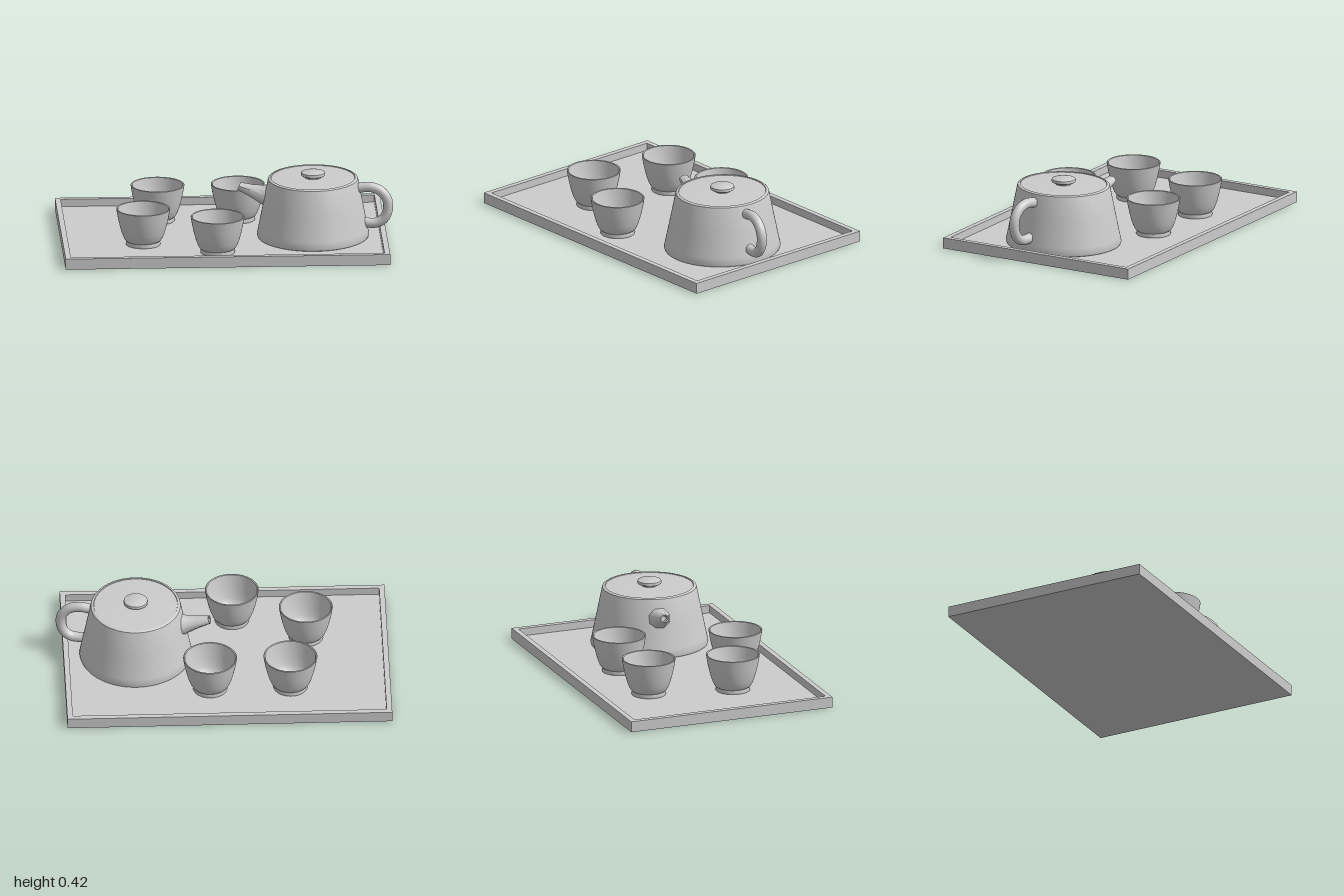
import * as THREE from 'three';
import { toCreasedNormals } from 'three/addons/utils/BufferGeometryUtils.js';

const material = new THREE.MeshStandardMaterial({ color: 0xcccccc, side: THREE.DoubleSide });
const FLOOR = 0.02; // upper face of the tray's base

function add(parent, name, geometry) {
  const mesh = new THREE.Mesh(geometry, material);
  mesh.name = name;
  parent.add(mesh);
  return mesh;
}

// Turned part from [radius, height] pairs, listed from the bottom up
function turned(profile, segments = 64) {
  const points = profile.map(([r, y]) => new THREE.Vector2(r, y));
  return toCreasedNormals(new THREE.LatheGeometry(points, segments), 0.6);
}

// Rings of [x, y, half height, half width, lean] joined in order
function spoutGeometry(rings, sides = 8) {
  const position = [], index = [];
  rings.forEach(([x, y, h, w, lean], r) => {
    for (let i = 0; i < sides; i++) {
      const a = ((i + 0.5) / sides) * Math.PI * 2;
      position.push(x + lean * Math.sin(a), y + h * Math.sin(a), w * Math.cos(a));
      if (r === 0) continue;
      const j = (i + 1) % sides, a0 = (r - 1) * sides, b0 = r * sides;
      index.push(a0 + i, b0 + i, b0 + j, a0 + i, b0 + j, a0 + j);
    }
  });
  const geometry = new THREE.BufferGeometry();
  geometry.setAttribute('position', new THREE.Float32BufferAttribute(position, 3));
  geometry.setIndex(index);
  return toCreasedNormals(geometry, 0.9);
}

function createTray() {
  const tray = new THREE.Group();
  tray.name = 'tray';
  const width = 1.953, depth = 1.3, height = 0.066, rim = 0.033;
  const rect = (Type, w, d) => new Type([[-w, -d], [w, -d], [w, d], [-w, d]]
    .map(([x, y]) => new THREE.Vector2(x / 2, y / 2)));
  const frame = rect(THREE.Shape, width, depth);
  frame.holes.push(rect(THREE.Path, width - 2 * rim, depth - 2 * rim));
  const rimGeometry = new THREE.ExtrudeGeometry(frame, { depth: height, bevelEnabled: false });
  add(tray, 'trayRim', rimGeometry.rotateX(-Math.PI / 2));
  const base = new THREE.BoxGeometry(width - 2 * rim, FLOOR, depth - 2 * rim);
  add(tray, 'trayBase', base.translate(0, FLOOR / 2, 0));
  tray.position.x = -0.0235;
  return tray;
}

function createTeapot() {
  const teapot = new THREE.Group();
  teapot.name = 'teapot';

  // Body is slightly narrower along the spout-to-handle axis
  const body = turned([
    [0, FLOOR], [0.342, FLOOR], [0.351, 0.024], [0.355, 0.034], [0.346, 0.075],
    [0.315, 0.225], [0.286, 0.37], [0.283, 0.379], [0.276, 0.384], [0.266, 0.385],
    [0.264, 0.381], [0, 0.384],
  ], 96);
  add(teapot, 'body', body).scale.x = 0.95;

  add(teapot, 'lidKnob', turned([
    [0.047, 0.378], [0.047, 0.395], [0.066, 0.395], [0.072, 0.399], [0.073, 0.407],
    [0.071, 0.416], [0.064, 0.42], [0, 0.421],
  ], 48));

  // Faceted tapering spout with an opening at the tip
  add(teapot, 'spout', spoutGeometry([
    [-0.24, 0.25, 0.09, 0.085, 0],
    [-0.3, 0.263, 0.06, 0.062, 0],
    [-0.37, 0.288, 0.038, 0.044, 0.006],
    [-0.448, 0.315, 0.022, 0.031, 0.009],
    [-0.446, 0.315, 0.014, 0.022, 0.006],
    [-0.38, 0.295, 0.014, 0.022, 0.004],
    [-0.375, 0.294, 0, 0, 0],
  ]));

  // Ear-shaped handle
  const path = new THREE.CatmullRomCurve3([
    [0.23, 0.318], [0.285, 0.329], [0.345, 0.335], [0.405, 0.316], [0.447, 0.265],
    [0.454, 0.205], [0.433, 0.148], [0.393, 0.117], [0.345, 0.111], [0.29, 0.118],
  ].map(([x, y]) => new THREE.Vector3(x, y, 0)));
  add(teapot, 'handle', new THREE.TubeGeometry(path, 64, 0.03, 20));

  teapot.position.set(0.517, 0, 0.068);
  teapot.rotation.y = -0.165;
  return teapot;
}

export function createModel() {
  const model = new THREE.Group();
  model.name = 'teaSet';
  model.add(createTray(), createTeapot());

  // Footed cups: outside upward, over the lip, then down the inside
  const cup = turned([
    [0, 0.026], [0.088, 0.026], [0.092, FLOOR], [0.102, FLOOR], [0.104, 0.026], [0.1, 0.044],
    [0.108, 0.05], [0.118, 0.066], [0.131, 0.1], [0.143, 0.145], [0.153, 0.19], [0.161, 0.238],
    [0.162, 0.243], [0.158, 0.246], [0.152, 0.243], [0.143, 0.195], [0.131, 0.14],
    [0.118, 0.095], [0.104, 0.066], [0.096, 0.06], [0, 0.056],
  ]);
  [[-0.4, -0.3], [0.083, -0.3], [-0.511, 0.2], [-0.073, 0.39]].forEach(([x, z], i) => {
    add(model, `cup${i + 1}`, cup).position.set(x, 0, z);
  });
  return model;
}
